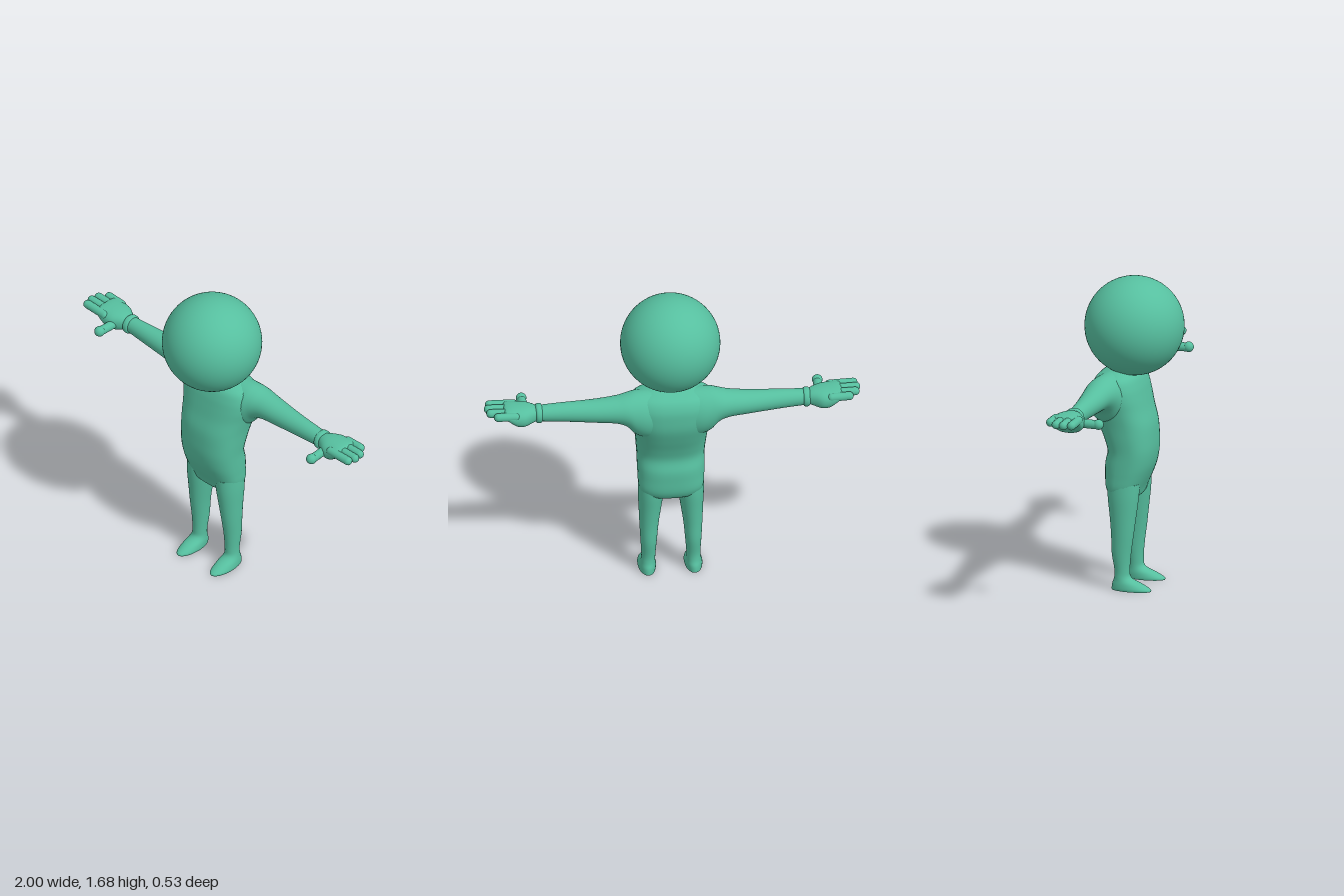
import * as THREE from 'three';
import { mergeGeometries } from 'three/addons/utils/BufferGeometryUtils.js';

const SIDES = 36, STEPS = 5;
const material = new THREE.MeshStandardMaterial({ color: 0x56bf9f });

// Catmull-Rom value at step f between rows i and i+1 for one column
function spline(rows, i, f, col) {
  const at = k => rows[Math.min(Math.max(k, 0), rows.length - 1)][col];
  const p1 = at(i), p2 = at(i + 1);
  const m1 = (p2 - at(i - 1)) / 2, m2 = (at(i + 2) - p1) / 2;
  const f2 = f * f, f3 = f2 * f;
  return (2 * f3 - 3 * f2 + 1) * p1 + (f3 - 2 * f2 + f) * m1 + (3 * f2 - 2 * f3) * p2 + (f3 - f2) * m2;
}

// Smooth skin over rounded sections, rows ascending along the axis:
// axis y rows: [y, xMin, xMax, zMin, zMax]; axis x rows: [x, zMin, zMax, yMin, yMax]
function loft(axis, rows, power = 2) {
  const pos = [], index = [], rings = [];
  const put = (t, u, v) => axis === 'y' ? pos.push(u, t, v) : pos.push(t, v, u);
  for (let i = 0; i < rows.length - 1; i++) {
    for (let s = 0; s < STEPS; s++) rings.push([0, 1, 2, 3, 4].map(c => spline(rows, i, s / STEPS, c)));
  }
  rings.push(rows[rows.length - 1]);
  const round = w => Math.sign(w) * Math.abs(w) ** (2 / power);
  const addRing = ([t, u0, u1, v0, v1]) => {
    for (let j = 0; j < SIDES; j++) {
      const a = (j / SIDES) * Math.PI * 2;
      put(t, (u0 + u1) / 2 + (u1 - u0) / 2 * round(Math.cos(a)), (v0 + v1) / 2 + (v1 - v0) / 2 * round(Math.sin(a)));
    }
  };
  rings.forEach(addRing);
  for (let i = 0; i < rings.length - 1; i++) {
    for (let j = 0; j < SIDES; j++) {
      const a = i * SIDES + j, b = i * SIDES + (j + 1) % SIDES;
      index.push(a, a + SIDES, b, b, a + SIDES, b + SIDES);
    }
  }
  // flat end caps
  [rings[0], rings[rings.length - 1]].forEach((ring, end) => {
    const start = pos.length / 3;
    addRing(ring);
    put(ring[0], (ring[1] + ring[2]) / 2, (ring[3] + ring[4]) / 2);
    for (let j = 0; j < SIDES; j++) {
      const a = start + j, b = start + (j + 1) % SIDES;
      index.push(start + SIDES, end ? b : a, end ? a : b);
    }
  });
  const geo = new THREE.BufferGeometry();
  geo.setAttribute('position', new THREE.Float32BufferAttribute(pos, 3));
  geo.setIndex(index);
  geo.computeVertexNormals();
  return geo;
}

// Mirror a geometry across x = 0, keeping faces outward
function mirrored(geo) {
  const g = geo.clone(), p = g.attributes.position, n = g.attributes.normal, idx = g.index;
  for (let i = 0; i < p.count; i++) {
    p.setX(i, -p.getX(i));
    n.setX(i, -n.getX(i));
  }
  for (let i = 0; i < idx.count; i += 3) {
    const b = idx.getX(i + 1);
    idx.setX(i + 1, idx.getX(i + 2));
    idx.setX(i + 2, b);
  }
  return g;
}

// Round-ended rod between two points
function rod(a, b, r) {
  const from = new THREE.Vector3(...a), to = new THREE.Vector3(...b);
  const dir = to.clone().sub(from);
  const geo = new THREE.CapsuleGeometry(r, dir.length(), 8, 16);
  geo.applyQuaternion(new THREE.Quaternion().setFromUnitVectors(new THREE.Vector3(0, 1, 0), dir.normalize()));
  const mid = from.add(to).multiplyScalar(0.5);
  return geo.translate(mid.x, mid.y, mid.z);
}

export function createModel() {
  const model = new THREE.Group();
  const add = (name, geo) => {
    const mesh = new THREE.Mesh(geo, material);
    mesh.name = name;
    model.add(mesh);
  };
  const addPair = (name, geo) => {
    add('left' + name, geo);
    add('right' + name, mirrored(geo));
  };

  // Head
  add('head', new THREE.SphereGeometry(0.265, 64, 40).translate(0, 1.42, 0));

  // Torso: half width, back and front depth at each height
  const torso = [
    [0.488, 0.07, -0.08, 0.02], [0.505, 0.145, -0.115, 0.045], [0.55, 0.172, -0.138, 0.062],
    [0.62, 0.177, -0.143, 0.092], [0.68, 0.179, -0.143, 0.112], [0.75, 0.181, -0.13, 0.122],
    [0.82, 0.187, -0.148, 0.121], [0.9, 0.195, -0.18, 0.113], [0.98, 0.21, -0.207, 0.09],
    [1.05, 0.225, -0.213, 0.072], [1.11, 0.225, -0.208, 0.055], [1.16, 0.2, -0.18, 0.03],
    [1.19, 0.12, -0.12, -0.02],
  ];
  add('torso', loft('y', torso.map(([y, w, b, f]) => [y, -w, w, b, f]), 2.5));

  // Legs with wedge feet
  addPair('Leg', loft('y', [
    [0, 0.077, 0.17, -0.086, 0.13], [0.012, 0.075, 0.172, -0.086, 0.127], [0.035, 0.077, 0.168, -0.083, 0.085],
    [0.065, 0.083, 0.16, -0.073, 0.022], [0.11, 0.082, 0.157, -0.072, 0.012], [0.2, 0.075, 0.162, -0.087, 0.018],
    [0.3, 0.066, 0.167, -0.091, 0.031], [0.4, 0.052, 0.171, -0.1, 0.043], [0.5, 0.038, 0.175, -0.112, 0.055],
    [0.58, 0.03, 0.174, -0.115, 0.06],
  ]));

  // Arms, flaring into the shoulders
  addPair('Arm', loft('x', [
    [0.06, -0.19, 0.0, 0.9, 1.185], [0.14, -0.205, 0.01, 0.91, 1.187], [0.2, -0.205, 0.0, 0.94, 1.186],
    [0.245, -0.2, -0.02, 0.993, 1.178], [0.3, -0.192, -0.036, 1.018, 1.167], [0.4, -0.18, -0.046, 1.028, 1.156],
    [0.5, -0.168, -0.053, 1.036, 1.15], [0.6, -0.158, -0.059, 1.044, 1.146], [0.73, -0.15, -0.067, 1.054, 1.139],
  ]));

  // Cuffs
  addPair('Cuff', loft('x', [
    [0.694, -0.15, -0.066, 1.054, 1.139], [0.7, -0.16, -0.056, 1.045, 1.147], [0.72, -0.161, -0.055, 1.044, 1.148],
    [0.73, -0.15, -0.066, 1.054, 1.139],
  ]));

  // Palms
  addPair('Palm', loft('x', [
    [0.715, -0.145, -0.07, 1.062, 1.135], [0.75, -0.165, -0.048, 1.05, 1.146], [0.79, -0.188, -0.026, 1.04, 1.152],
    [0.83, -0.193, -0.022, 1.046, 1.154], [0.865, -0.193, -0.022, 1.075, 1.153], [0.89, -0.186, -0.03, 1.1, 1.148],
    [0.9, -0.16, -0.06, 1.115, 1.135],
  ], 2.3));

  // Fingers: [z, tip x]
  const fingers = [[-0.043, 0.99], [-0.085, 1.0], [-0.128, 0.992], [-0.17, 0.956]];
  addPair('Fingers', mergeGeometries(fingers.map(([z, tip]) =>
    rod([0.84, 1.122, z], [tip - 0.023, 1.125, z], 0.023))));

  // Thumbs with a rounded tip
  addPair('Thumb', mergeGeometries([
    rod([0.78, 1.09, -0.08], [0.787, 1.09, 0.045], 0.024),
    new THREE.SphereGeometry(0.028, 20, 14).translate(0.787, 1.092, 0.05),
  ]));

  return model;
}
